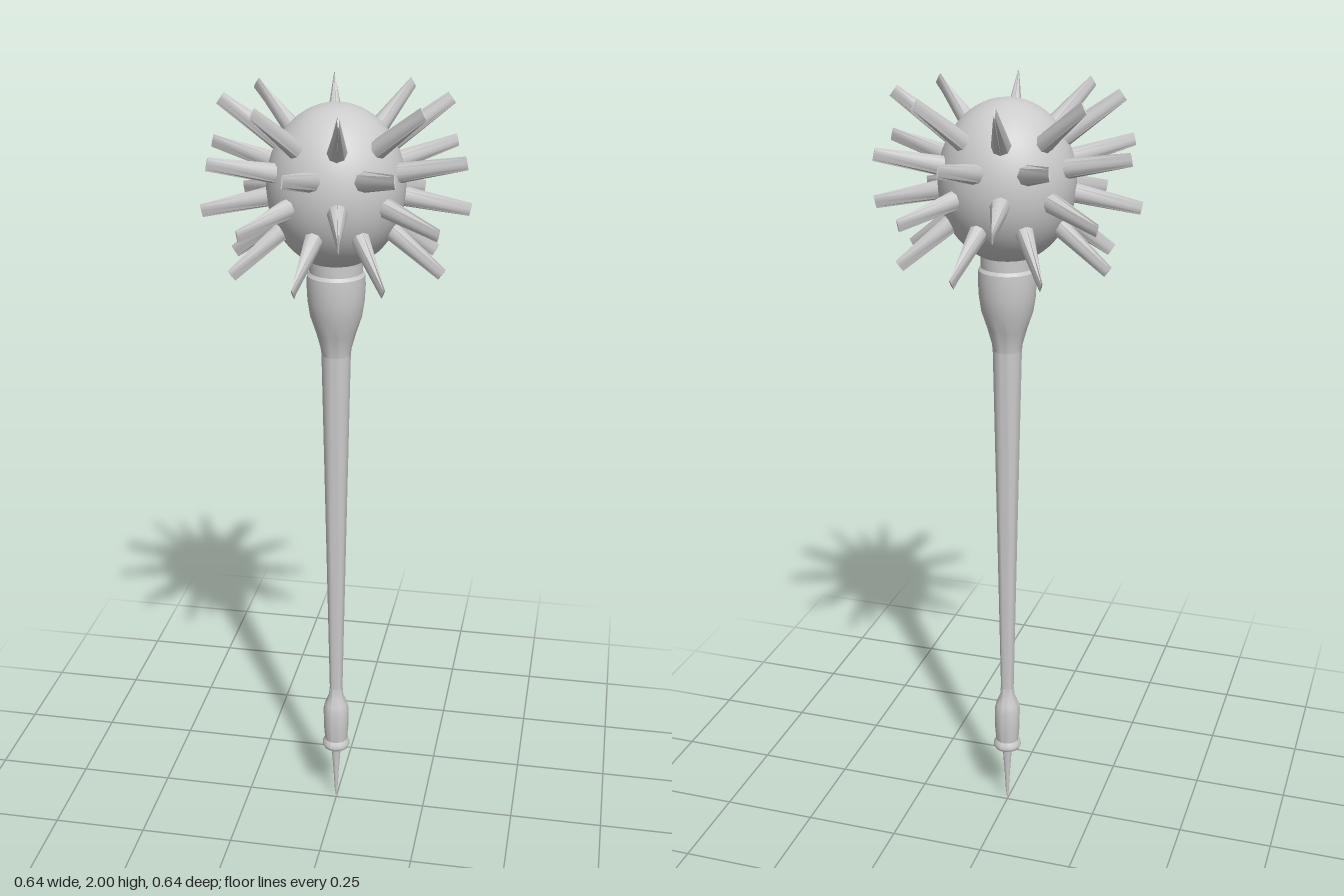
import * as THREE from 'three';
import { toCreasedNormals } from 'three/addons/utils/BufferGeometryUtils.js';

const material = new THREE.MeshStandardMaterial({ color: 0xcccccc });
const HEAD_Y = 1.775;

function addMesh(parent, name, geometry) {
  const mesh = new THREE.Mesh(geometry, material);
  mesh.name = name;
  parent.add(mesh);
  return mesh;
}

function lathe(points) {
  const profile = points.map(([r, y]) => new THREE.Vector2(r, y));
  return toCreasedNormals(new THREE.LatheGeometry(profile, 32), 0.6);
}

// Blade-like spike along +x: narrows to an upright edge at its tip
function spikeGeometry(length) {
  const geometry = new THREE.CylinderGeometry(1, 1, length, 8, 1);
  geometry.rotateZ(-Math.PI / 2);
  const p = geometry.attributes.position;
  for (let i = 0; i < p.count; i++) {
    const tip = p.getX(i) > 0;
    p.setY(i, p.getY(i) * (tip ? 0.016 : 0.026));
    p.setZ(i, p.getZ(i) * (tip ? 0.002 : 0.029));
  }
  geometry.computeVertexNormals();
  return toCreasedNormals(geometry, 0.9);
}

export function createModel() {
  const model = new THREE.Group();
  model.name = 'spikedMace';

  // Handle parts, from the ground up
  addMesh(model, 'buttSpike', lathe([[0, 0], [0.004, 0.03], [0.008, 0.1], [0.014, 0.185]]));
  addMesh(model, 'pommel', lathe([
    [0, 0.178], [0.034, 0.178], [0.038, 0.186], [0.037, 0.194], [0.031, 0.204],
    [0.034, 0.24], [0.035, 0.3], [0.031, 0.318], [0.02, 0.345], [0.018, 0.37],
  ]));
  addMesh(model, 'shaft', lathe([[0.017, 0.34], [0.026, 0.8], [0.037, 1.35], [0.037, 1.37]]));
  addMesh(model, 'collar', lathe([
    [0.036, 1.34], [0.039, 1.365], [0.05, 1.405], [0.065, 1.45], [0.071, 1.49],
    [0.073, 1.53], [0.072, 1.556], [0.066, 1.564], [0.066, 1.6],
  ]));

  // Slightly tall ball
  const ball = addMesh(model, 'headBall', new THREE.SphereGeometry(1, 48, 32));
  ball.scale.set(0.168, 0.198, 0.168);
  ball.position.y = HEAD_Y;

  // Four staggered rows of eight spikes: [tip radius, tip height, turned half a step]
  const rows = [[0.272, 1.985, 0], [0.325, 1.858, 1], [0.325, 1.716, 0], [0.272, 1.585, 1]];
  rows.forEach(([radius, height, odd], row) => {
    const ring = new THREE.Group();
    ring.name = `spikeRow${row + 1}`;
    ring.position.y = HEAD_Y + 0.01;
    const rise = height - ring.position.y;
    const reach = Math.hypot(radius, rise);
    const start = 0.13;
    const geometry = spikeGeometry(reach - start);
    geometry.translate((reach + start) / 2, 0, 0);
    geometry.rotateZ(Math.atan2(rise, radius));
    for (let i = 0; i < 8; i++) {
      const spike = addMesh(ring, 'spike', geometry);
      spike.rotation.y = Math.PI / 16 - odd * Math.PI / 8 + i * Math.PI / 4;
    }
    model.add(ring);
  });

  return model;
}
